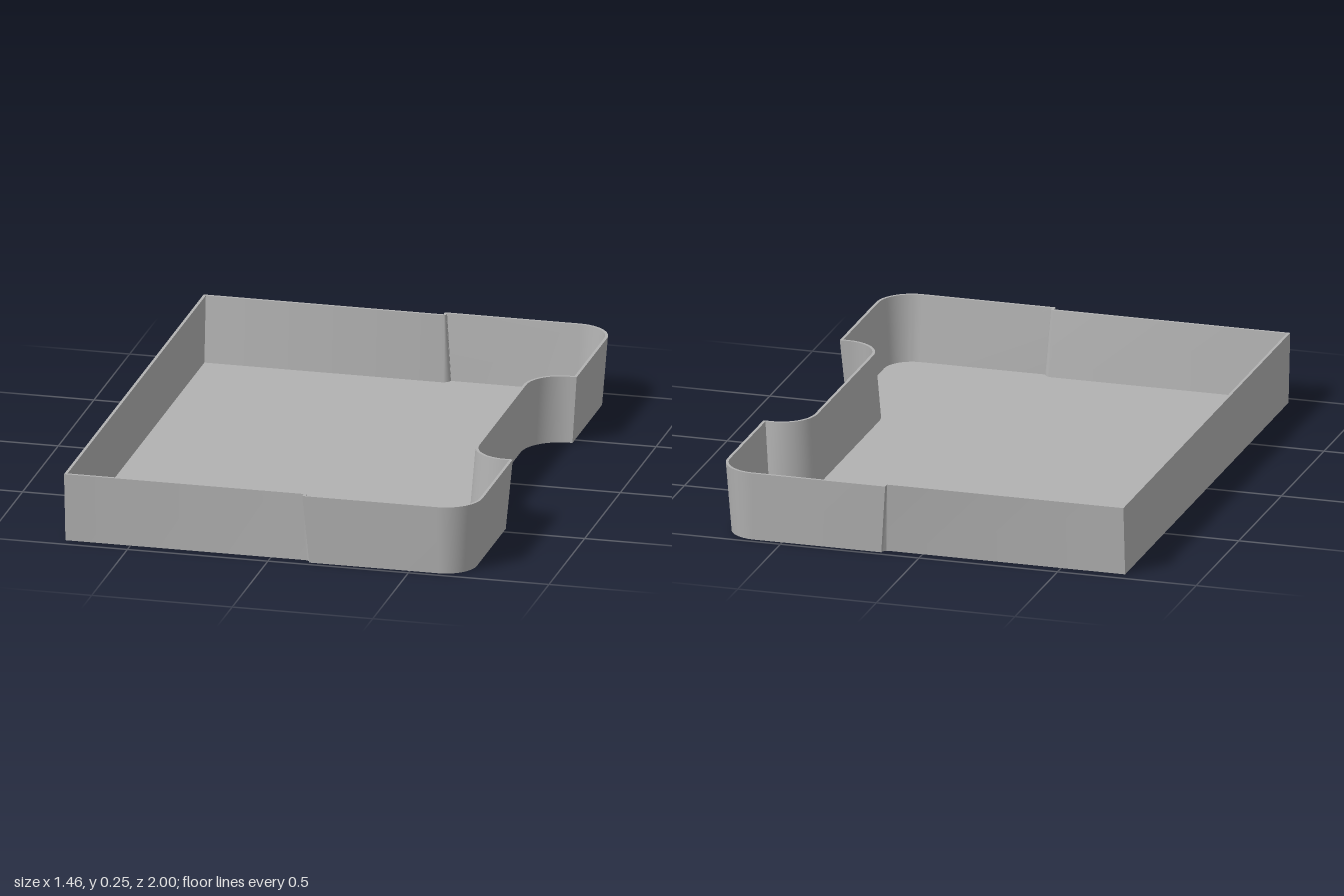
import * as THREE from 'three';
import { toCreasedNormals } from 'three/addons/utils/BufferGeometryUtils.js';

const HEIGHT = 0.248, WALL = 0.01, TAPER = 0.02, FLOOR = 0.01;

function arc(cx, cz, r, from, to, steps) {
  const pts = [];
  for (let i = 0; i <= steps; i++) {
    const a = from + (to - from) * i / steps;
    pts.push([cx + r * Math.cos(a), cz + r * Math.sin(a)]);
  }
  return pts;
}

// Tray outline as [x, z], shrunk by d all round except the straight left edge, shrunk by e
function outline(d, e) {
  const q = Math.PI / 2;
  const half = [
    [-0.731 + e, 0.978 - d],
    // small step in the side wall
    ...arc(0.122, 0.978, d, -q, 0, 6).map(([x, z]) => [x, Math.min(z, 1 - d)]),
    [0.122 + d, 1 - d],
    // rounded outer corner
    ...arc(0.601, 0.87, 0.13 - d, q, 0, 16),
    // rounded end of the notch
    [0.731 - d, 0.447 + d],
    ...arc(0.702, 0.327, 0.12 + d, q, 2 * q, 16),
  ];
  return [...half, ...half.map(([x, z]) => [x, -z]).reverse()];
}

// Wall surface through successive rings of equal point count
function loft(rings) {
  const pos = [], index = [], n = rings[0].pts.length;
  rings.forEach(({ pts, y }) => pts.forEach(([x, z]) => pos.push(x, y, z)));
  for (let r = 0; r < rings.length - 1; r++) {
    for (let i = 0; i < n; i++) {
      const j = (i + 1) % n;
      const a = r * n + i, b = r * n + j, c = b + n, d = a + n;
      index.push(a, b, c, a, c, d);
    }
  }
  const geo = new THREE.BufferGeometry();
  geo.setAttribute('position', new THREE.Float32BufferAttribute(pos, 3));
  geo.setIndex(index);
  return toCreasedNormals(geo, Math.PI / 6);
}

// Flat panel filling an outline, facing up (1) or down (-1)
function panel(pts, y, facing) {
  const shape = new THREE.Shape(pts.map(([x, z]) => new THREE.Vector2(x, -facing * z)));
  return new THREE.ShapeGeometry(shape).rotateX(-facing * Math.PI / 2).translate(0, y, 0);
}

export function createModel() {
  const group = new THREE.Group();
  group.name = 'tray';
  const grey = new THREE.MeshStandardMaterial({ color: 0xb2b2b2, side: THREE.DoubleSide });
  grey.name = 'grey';
  const add = (name, geo) => {
    const mesh = new THREE.Mesh(geo, grey);
    mesh.name = name;
    group.add(mesh);
  };

  const outerBottom = outline(TAPER, 0);
  const innerBottom = outline(TAPER + WALL, WALL);

  // Outer face, rim and inner face of the tapered wall
  add('wall', loft([
    { pts: outerBottom, y: 0 },
    { pts: outline(0, 0), y: HEIGHT },
    { pts: outline(WALL, WALL), y: HEIGHT },
    { pts: innerBottom, y: FLOOR },
  ]));
  add('floor', panel(innerBottom, FLOOR, 1));
  add('underside', panel(outerBottom, 0, -1));
  return group;
}
